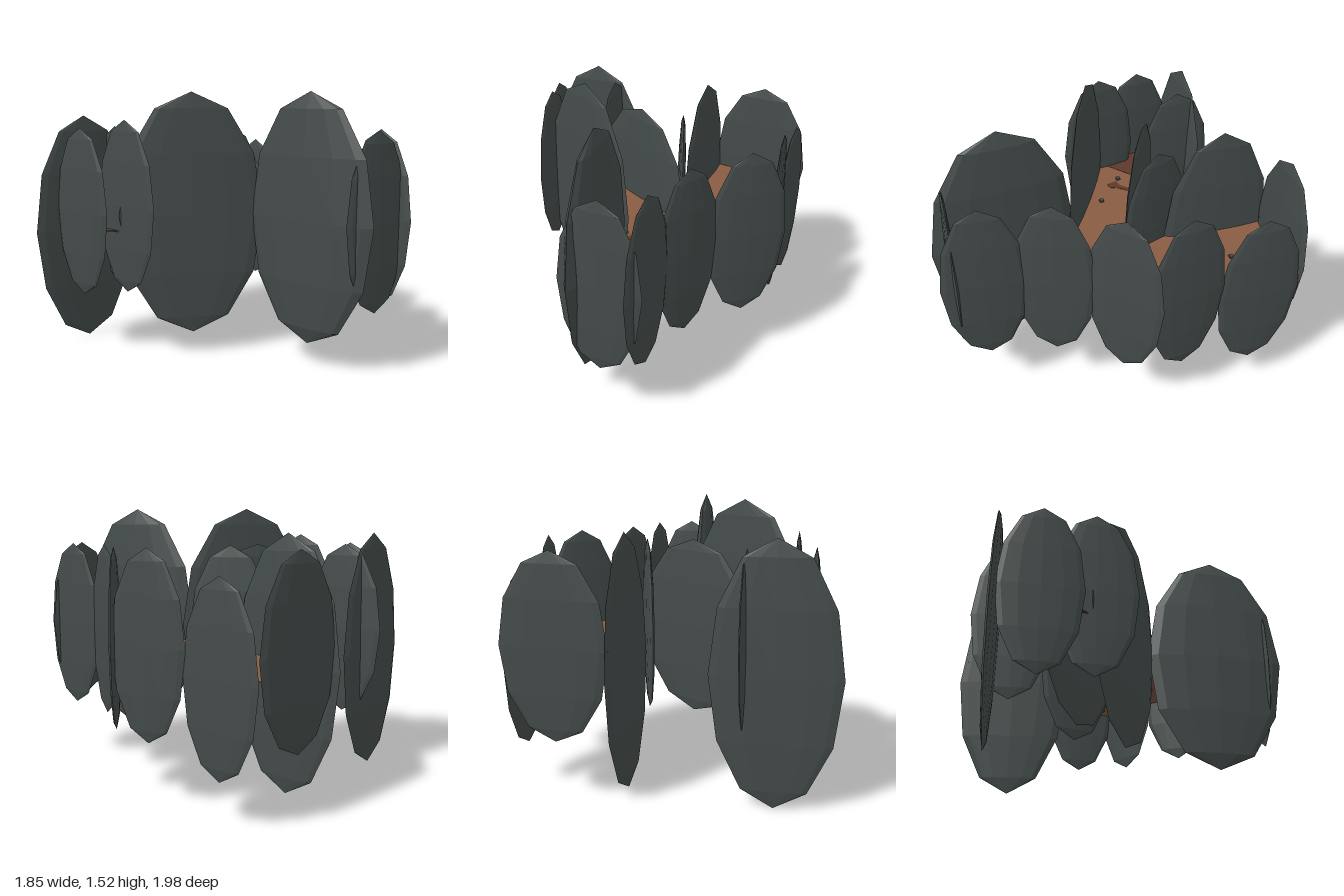
import * as THREE from 'three';

const slate = new THREE.MeshStandardMaterial({ color: 0x434b4a, flatShading: true });
slate.name = 'slate';
const flat = (name, color) => {
  const m = new THREE.MeshStandardMaterial({ color, side: THREE.DoubleSide });
  m.name = name;
  return m;
};
const clay = flat('clay', 0x8a5c42);
const dampClay = flat('dampClay', 0x7d533c);
const darkEarth = flat('darkEarth', 0x5f382c);
const FLOOR = 0.74;

// Faceted upright boulder slabs: ends in plan (x0, z0, x1, z1), bottom, top, half thickness
const SLABS = [
  [0.20, -0.95, 0.80, -0.93, 0.34, 1.32, 0.025],
  [0.21, -0.99, 0.21, -0.34, 0.005, 1.39, 0.033],
  [0.785, -0.92, 0.78, -0.45, 0.22, 1.20, 0.025],
  [0.785, -0.475, 0.86, -0.03, 0.34, 1.32, 0.025],
  [0.92, -0.09, 0.575, 0.22, 0.34, 1.32, 0.025],
  [0.615, 0.18, 0.44, 0.595, 0.34, 1.32, 0.025],
  [0.47, 0.515, 0.445, 0.98, 0.34, 1.32, 0.025],
  [0.03, 0.895, 0.505, 0.895, 0.34, 1.32, 0.022],
  [0.03, 0.155, 0.135, 0.99, 0.13, 1.525, 0.062],
  [-0.655, -0.20, 0.085, 0.19, 0.13, 1.525, 0.03],
  [-0.655, -0.415, -0.585, 0.055, 0.39, 1.37, 0.025],
  [-0.78, -0.70, -0.71, -0.235, 0.34, 1.32, 0.028],
  [-0.925, -0.70, -0.245, -0.735, 0.0, 1.385, 0.028],
  [-0.43, -0.86, -0.405, -0.395, 0.34, 1.32, 0.022],
  [-0.415, -0.47, 0.31, -0.07, 0.34, 1.32, 0.026],
  [0.115, -0.50, 0.305, -0.065, 0.34, 1.32, 0.025],
];

// Horizontal plate centred on the floor level, drawn from (x, z) points
function plate(name, points, thickness, material) {
  const shape = new THREE.Shape(points.map(([x, z]) => new THREE.Vector2(x, -z)));
  const geo = new THREE.ExtrudeGeometry(shape, { depth: thickness, bevelEnabled: false });
  geo.rotateX(-Math.PI / 2);
  const mesh = new THREE.Mesh(geo, material);
  mesh.position.y = FLOOR - thickness / 2;
  mesh.name = name;
  return mesh;
}

// Small irregular blotch
function blotch(x, z, rx, rz) {
  return Array.from({ length: 8 }, (_, i) => {
    const a = (i / 8) * Math.PI * 2, r = 1 + 0.2 * Math.sin(i * 2.3);
    return [x + Math.cos(a) * rx * r, z + Math.sin(a) * rz * r];
  });
}

export function createModel() {
  const model = new THREE.Group();
  model.name = 'rockCorridor';

  // Ring of boulder slabs
  const walls = new THREE.Group();
  walls.name = 'boulderWalls';
  const ball = new THREE.SphereGeometry(1, 12, 6);
  SLABS.forEach(([x0, z0, x1, z1, y0, y1, t], i) => {
    const slab = new THREE.Mesh(ball, slate);
    slab.name = `boulder${i + 1}`;
    slab.scale.set(Math.hypot(x1 - x0, z1 - z0) / 2, (y1 - y0) / 2, t);
    slab.position.set((x0 + x1) / 2, (y0 + y1) / 2, (z0 + z1) / 2);
    slab.rotation.y = Math.atan2(z0 - z1, x1 - x0);
    walls.add(slab);
  });
  model.add(walls);

  // Forked floor
  model.add(plate('floor', [
    [0.21, -0.94], [0.785, -0.93], [0.785, -0.45], [0.86, -0.06], [0.6, 0.2], [0.455, 0.56],
    [0.445, 0.88], [0.17, 0.87], [0.13, 0.5], [0.08, 0.18], [-0.62, -0.19], [-0.7, -0.3],
    [-0.77, -0.71], [-0.42, -0.72], [-0.41, -0.46], [0.3, -0.08], [0.21, -0.35],
  ], 0.003, clay));

  // Damp and dark ground patches, showing on both faces
  model.add(plate('dampGround',
    [[0.08, 0.19], [0.6, 0.2], [0.52, 0.4], [0.4, 0.46], [0.14, 0.46]], 0.005, dampClay));
  const dark = [
    [[0.13, 0.35], [0.2, 0.33], [0.26, 0.38], [0.3, 0.42], [0.36, 0.42], [0.42, 0.35], [0.52, 0.37],
      [0.455, 0.56], [0.44, 0.87], [0.17, 0.87], [0.14, 0.6]],
    [[-0.75, -0.52], [-0.68, -0.51], [-0.65, -0.48], [-0.6, -0.48], [-0.56, -0.44], [-0.49, -0.46],
      [-0.47, -0.56], [-0.42, -0.58], [-0.41, -0.4], [-0.5, -0.33], [-0.64, -0.21], [-0.7, -0.28]],
    [[-0.42, -0.24], [-0.4, -0.18], [-0.36, -0.18], [-0.34, -0.23], [-0.3, -0.28], [-0.32, -0.3], [-0.37, -0.25]],
    blotch(0.36, 0.205, 0.03, 0.011),
    blotch(0.11, 0.25, 0.02, 0.025),
    blotch(-0.65, -0.69, 0.06, 0.018),
  ];
  dark.forEach((p, i) => model.add(plate(`darkPatch${i + 1}`, p, 0.007, darkEarth)));

  // Lighter spots left within the dark ground
  [[0.285, 0.84, 0.032, 0.022], [0.41, 0.85, 0.012, 0.03], [0.43, 0.58, 0.016, 0.018]].forEach((s, i) =>
    model.add(plate(`claySpot${i + 1}`, blotch(...s), 0.009, clay)));

  // Pebbles along the path
  const pebbleGeo = new THREE.BoxGeometry(0.026, 0.026, 0.026);
  [[-0.5, -0.62], [-0.59, -0.55], [-0.44, -0.26], [-0.23, -0.09], [0.09, -0.045], [0.45, -0.15],
    [0.495, -0.65], [0.73, -0.1], [0.445, 0.105], [0.265, 0.465], [0.365, 0.695], [0.22, 0.82],
  ].forEach(([x, z], i) => {
    const pebble = new THREE.Mesh(pebbleGeo, slate);
    pebble.name = `pebble${i + 1}`;
    pebble.position.set(x, FLOOR, z);
    model.add(pebble);
  });

  return model;
}
